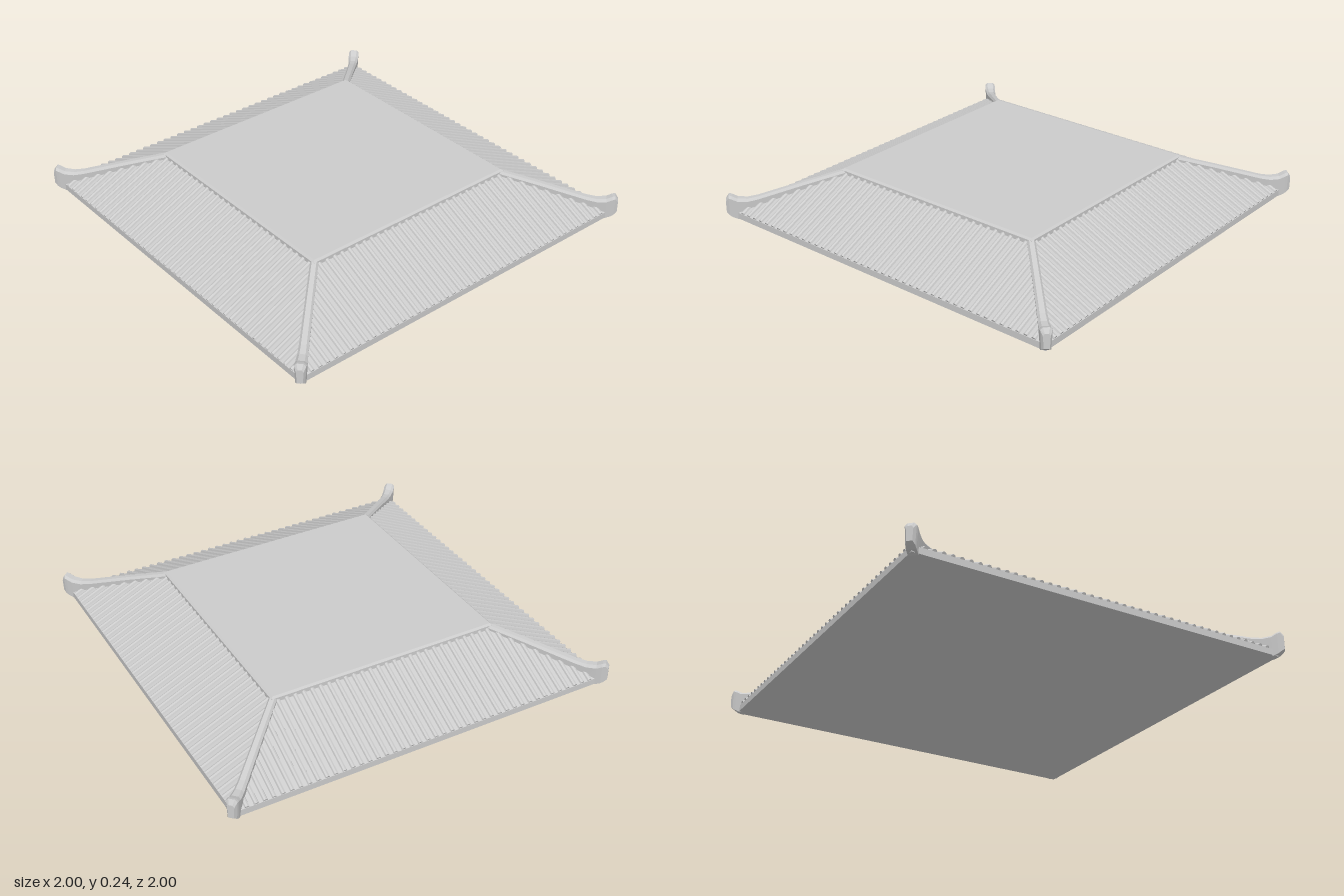
import * as THREE from 'three';

const EAVE = 0.965, TOP = 0.59, Y_EAVE = 0.035, Y_TOP = 0.212;
const RIBS = 45, RIB_RADIUS = 0.0115;

// Square slab or frustum given by its half widths and its heights
function squareFrustum(halfBottom, halfTop, y0, y1) {
  const g = new THREE.CylinderGeometry(halfTop * Math.SQRT2, halfBottom * Math.SQRT2, y1 - y0, 4);
  g.rotateY(Math.PI / 4);
  g.translate(0, (y0 + y1) / 2, 0);
  return g;
}

// Hip ridge along local +x, lofted through bevelled sections
function ridgeGeometry() {
  // distance (per axis), bottom, top, half width
  const stations = [
    [0.565, 0.195, 0.24, 0.019],
    [0.72, 0.12, 0.179, 0.02],
    [0.88, 0.04, 0.113, 0.022],
    [0.915, 0.02, 0.104, 0.024],
    [0.948, 0.0, 0.108, 0.027],
    [0.967, 0.012, 0.122, 0.028],
    [0.977, 0.022, 0.127, 0.026],
    [0.988, 0.035, 0.105, 0.016],
  ];
  const pos = [], index = [], n = 6;
  for (const [d, yb, yt, w] of stations) {
    const x = d * Math.SQRT2, shoulder = yt - 0.012;
    for (const [y, z] of [[yb, w * 0.8], [shoulder, w], [yt, w * 0.55],
      [yt, -w * 0.55], [shoulder, -w], [yb, -w * 0.8]]) pos.push(x, y, z);
  }
  const last = (stations.length - 1) * n;
  for (let i = 0; i < stations.length - 1; i++) {
    for (let j = 0; j < n; j++) {
      const a = i * n + j, d = i * n + (j + 1) % n;
      index.push(a, a + n, d + n, a, d + n, d);
    }
  }
  for (let j = 1; j < n - 1; j++) {
    index.push(0, j, j + 1, last, last + j + 1, last + j);
  }
  const g = new THREE.BufferGeometry();
  g.setAttribute('position', new THREE.Float32BufferAttribute(pos, 3));
  g.setIndex(index);
  g.computeVertexNormals();
  return g;
}

export function createModel() {
  const model = new THREE.Group();
  const material = new THREE.MeshStandardMaterial({ color: 0xcccccc, flatShading: true });
  const add = (parent, name, geometry) => {
    const mesh = new THREE.Mesh(geometry, material);
    mesh.name = name;
    parent.add(mesh);
    return mesh;
  };

  // Eave slab, sloping body and flat cap
  add(model, 'eaveSlab', squareFrustum(EAVE, EAVE, 0.004, Y_EAVE));
  add(model, 'roofBody', squareFrustum(EAVE, TOP, Y_EAVE, Y_TOP));
  add(model, 'topCapEdge', squareFrustum(TOP, TOP, Y_TOP, 0.232));
  add(model, 'topCap', squareFrustum(TOP, 0.58, 0.232, 0.24));

  const ridge = ridgeGeometry();
  const slope = (Y_TOP - Y_EAVE) / (EAVE - TOP);
  const tilt = Math.atan(slope);
  for (let k = 0; k < 4; k++) {
    // Rows of half-round tiles, shortened where they meet the hips
    const side = new THREE.Group();
    side.name = 'tiledSlope';
    side.rotation.y = k * Math.PI / 2;
    for (let i = 0; i < RIBS; i++) {
      const x = (i - (RIBS - 1) / 2) * (2 * EAVE / RIBS);
      const z0 = EAVE - 0.002, z1 = Math.max(TOP - 0.005, Math.abs(x));
      if (z0 - z1 < 0.01) continue;
      const zm = (z0 + z1) / 2;
      const g = new THREE.CylinderGeometry(RIB_RADIUS, RIB_RADIUS, (z0 - z1) / Math.cos(tilt), 8);
      g.rotateX(tilt - Math.PI / 2);
      g.translate(x, Y_EAVE + (EAVE - zm) * slope, zm);
      add(side, 'tileRib', g);
    }
    model.add(side);

    // Hip ridge with upturned end
    add(model, 'hipRidge', ridge).rotation.y = Math.PI / 4 + k * Math.PI / 2;
  }
  return model;
}
